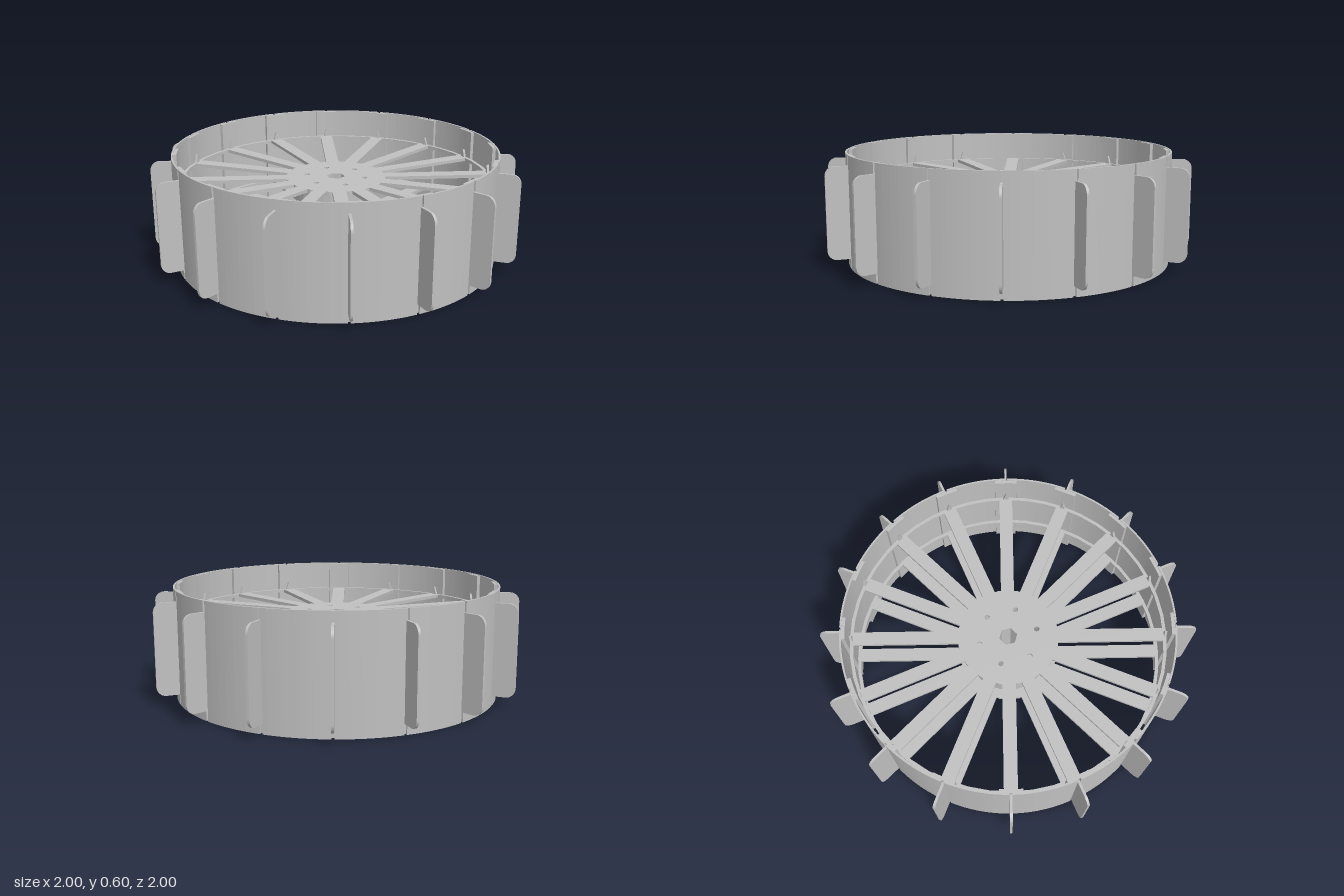
import * as THREE from 'three';

const COUNT = 16;
const STEP = (Math.PI * 2) / COUNT;
const HEIGHT = 0.6;

// Regular polygon or circle outline
function ring(Type, r, sides, turn = 0, cx = 0, cy = 0) {
  const pts = [];
  for (let i = 0; i < sides; i++) {
    const a = turn + (i / sides) * Math.PI * 2;
    pts.push(new THREE.Vector2(cx + r * Math.cos(a), cy + r * Math.sin(a)));
  }
  return new Type(pts);
}

// Part of a ring between two angles
function arcShape(r0, r1, a0, a1) {
  const s = new THREE.Shape();
  s.absarc(0, 0, r1, a0, a1, false);
  s.absarc(0, 0, r0, a1, a0, true);
  return s;
}

// Extrude a floor plan upwards from y0 to y1
function slab(shape, y0, y1, curveSegments = 6) {
  const g = new THREE.ExtrudeGeometry(shape, { depth: y1 - y0, bevelEnabled: false, curveSegments });
  g.rotateX(-Math.PI / 2);
  g.translate(0, y0, 0);
  return g;
}

export function createModel() {
  const model = new THREE.Group();
  const metal = new THREE.MeshStandardMaterial({ color: 0xc0c0c0 });
  metal.name = 'light grey metal';

  function add(parent, name, geometry, angle = 0) {
    const m = new THREE.Mesh(geometry, metal);
    m.name = name;
    m.rotation.y = angle;
    parent.add(m);
    return m;
  }

  // Rim: curved panels with a slot at each paddle, backed by joining strips
  const panelGeo = slab(arcShape(0.87, 0.88, 0.008, STEP - 0.008), 0, HEIGHT);
  const stripGeo = slab(arcShape(0.852, 0.87, -0.07, 0.07), 0.003, HEIGHT - 0.003, 4);

  // Paddle: thin upright plate with rounded outer corners
  const y0 = 0.055, y1 = 0.545, c = 0.05;
  const p = new THREE.Shape();
  p.moveTo(0.855, y0);
  p.lineTo(1 - c, y0);
  p.absarc(1 - c, y0 + c, c, -Math.PI / 2, 0, false);
  p.lineTo(1, y1 - c);
  p.absarc(1 - c, y1 - c, c, 0, Math.PI / 2, false);
  p.lineTo(0.855, y1);
  p.closePath();
  const paddleGeo = new THREE.ExtrudeGeometry(p, { depth: 0.013, bevelEnabled: false, curveSegments: 6 });
  paddleGeo.translate(0, 0, -0.0065);

  for (let i = 0; i < COUNT; i++) {
    add(model, 'rimPanel', panelGeo, i * STEP);
    add(model, 'rimStrip', stripGeo, i * STEP);
    add(model, 'paddle', paddleGeo, i * STEP);
  }

  // Two spoked plates with a thin outer hoop
  const hoop = ring(THREE.Shape, 0.853, 48);
  hoop.holes.push(ring(THREE.Path, 0.835, 48));
  const hub = ring(THREE.Shape, 0.272, COUNT, STEP / 2);
  hub.holes.push(ring(THREE.Path, 0.05, 6, Math.PI / 6));
  for (let i = 0; i < 6; i++) {
    const a = Math.PI / 6 + (i * Math.PI) / 3;
    hub.holes.push(ring(THREE.Path, 0.015, 10, 0, 0.16 * Math.cos(a), 0.16 * Math.sin(a)));
  }
  const spokeGeo = new THREE.BoxGeometry(0.585, 0.018, 0.072);
  spokeGeo.translate(0.5525, 0, 0);

  for (const side of [-1, 1]) {
    const plate = new THREE.Group();
    plate.name = side > 0 ? 'upperSpokePlate' : 'lowerSpokePlate';
    plate.position.y = HEIGHT / 2 + side * 0.132;
    model.add(plate);
    add(plate, 'hoop', slab(hoop, -0.009, 0.009));
    add(plate, 'hubDisc', slab(hub, -0.009, 0.009));

    // Small pointed lug at the end of each spoke
    const lug = new THREE.Shape([
      new THREE.Vector2(-0.015, 0), new THREE.Vector2(0.015, 0), new THREE.Vector2(0, 0.045),
    ]);
    const lugGeo = new THREE.ExtrudeGeometry(lug, { depth: 0.014, bevelEnabled: false });
    lugGeo.rotateY(Math.PI / 2);
    if (side < 0) lugGeo.rotateX(Math.PI);
    lugGeo.translate(0.839, side * 0.009, 0);
    for (let i = 0; i < COUNT; i++) {
      add(plate, 'spoke', spokeGeo, i * STEP);
      add(plate, 'spokeLug', lugGeo, i * STEP);
    }
  }

  // Drum between the plates
  const drum = ring(THREE.Shape, 0.22, 32);
  drum.holes.push(ring(THREE.Path, 0.205, 32));
  add(model, 'hubDrum', slab(drum, 0.177, 0.423));

  // Central boss with a hexagonal bore, sticking out underneath
  const boss = ring(THREE.Shape, 0.095, 32);
  boss.holes.push(ring(THREE.Path, 0.05, 6, Math.PI / 6));
  add(model, 'hubBoss', slab(boss, 0.09, 0.43));

  // Raised collar segments around the boss on the underside
  const collarGeo = slab(arcShape(0.125, 0.185, -0.35, 0.35), 0.143, 0.16);
  for (let i = 0; i < 6; i++) add(model, 'hubCollar', collarGeo, (i * Math.PI) / 3);

  return model;
}
